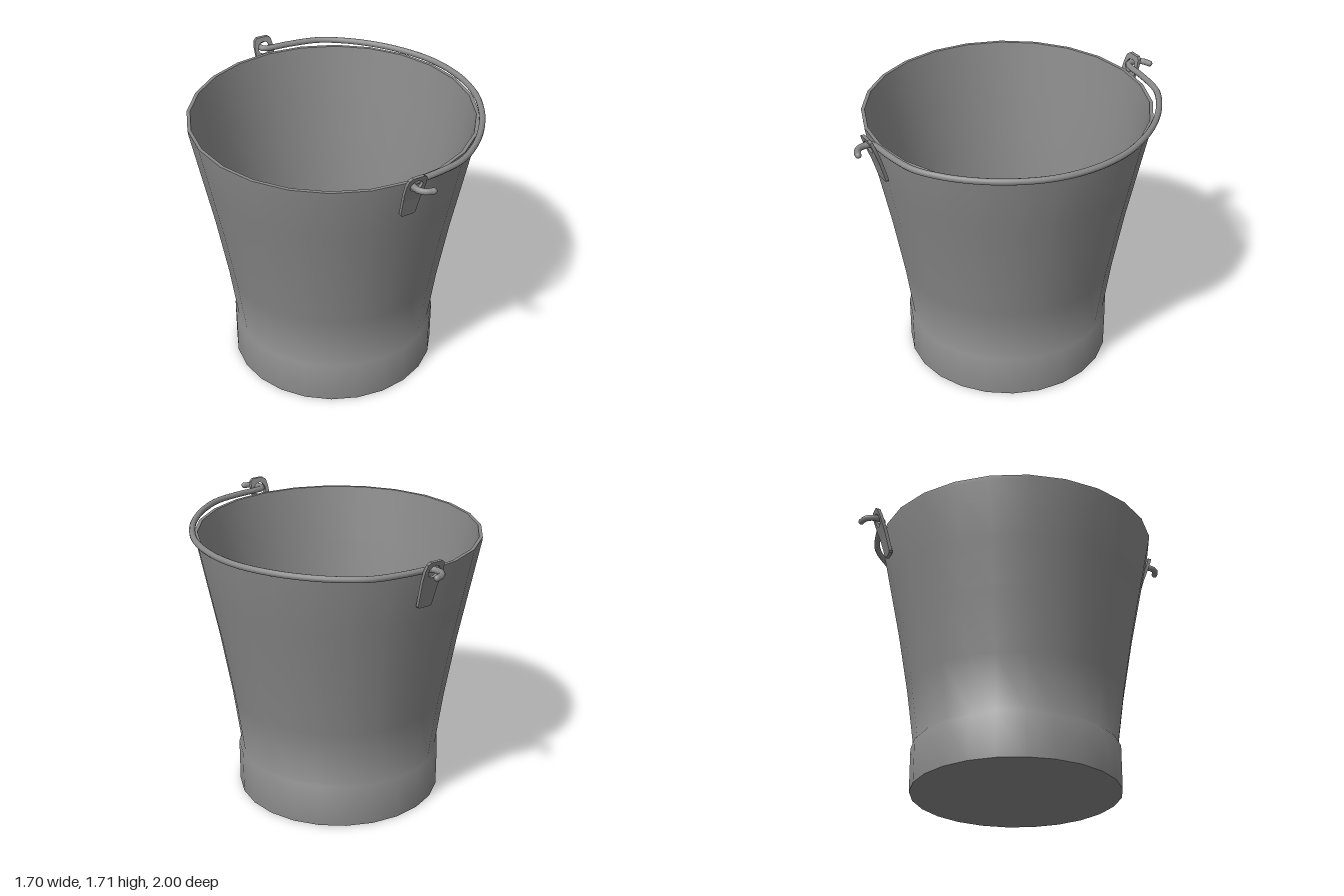
import * as THREE from 'three';
import { toCreasedNormals } from 'three/addons/utils/BufferGeometryUtils.js';

const CX = -0.014; // bucket axis
const WIRE = 0.018;

export function createModel() {
  const model = new THREE.Group();
  const material = new THREE.MeshStandardMaterial({ color: 0x888888, side: THREE.DoubleSide });
  const add = (parent, name, geometry) => {
    const mesh = new THREE.Mesh(geometry, material);
    mesh.name = name;
    parent.add(mesh);
    return mesh;
  };

  // Pail: base band blending softly into the flared wall, thin rim, then the inside down to the floor
  const profile = [
    [0, 0.004], [0.615, 0.004], [0.615, 0.265], [0.6, 0.285],
    [0.645, 0.62], [0.71, 1.0], [0.77, 1.3], [0.833, 1.615],
    [0.835, 1.637], [0.815, 1.637],
    [0.752, 1.3], [0.692, 1.0], [0.628, 0.62], [0.582, 0.285], [0.577, 0.12], [0, 0.12],
  ].map(([r, y]) => new THREE.Vector2(r, y));
  const pail = add(model, 'pail', toCreasedNormals(new THREE.LatheGeometry(profile, 24), 1));
  pail.position.x = CX;

  // Lug: a lower strap on the wall and an upper eye that leans outwards
  const plate = (shape, y0, z0, y1, z1) => {
    const geometry = new THREE.ExtrudeGeometry(shape, { depth: 0.02, bevelEnabled: false, curveSegments: 10 });
    const p = geometry.attributes.position;
    for (let i = 0; i < p.count; i++) {
      const t = (p.getY(i) - y0) / (y1 - y0);
      p.setZ(i, p.getZ(i) + z0 + t * (z1 - z0) - 0.01);
    }
    geometry.deleteAttribute('normal');
    return toCreasedNormals(geometry, 0.6);
  };
  const outline = (half) => new THREE.Shape([
    ...half.map(([x, y]) => new THREE.Vector2(x, y)),
    ...half.map(([x, y]) => new THREE.Vector2(-x, y)).reverse(),
  ]);
  const strap = outline([[0.037, 1.423], [0.046, 1.433], [0.053, 1.54]]);
  const eye = outline([[0.053, 1.54], [0.06, 1.6], [0.061, 1.66], [0.054, 1.7], [0.035, 1.714]]);
  eye.holes.push(new THREE.Path().absarc(0, 1.65, 0.038, 0, Math.PI * 2, true));
  const strapGeometry = plate(strap, 1.423, 0.812, 1.54, 0.846);
  const eyeGeometry = plate(eye, 1.54, 0.846, 1.714, 0.908);
  for (const [name, turn] of [['frontLug', 0], ['backLug', Math.PI]]) {
    const lug = new THREE.Group();
    lug.name = name;
    lug.position.x = CX;
    lug.rotation.y = turn;
    add(lug, 'strap', strapGeometry);
    add(lug, 'eye', eyeGeometry);
    model.add(lug);
  }

  // Handle: wire lying level around the rim, hooked through each lug
  const half = [
    [0.037, 0.983], [-0.005, 0.968], [-0.03, 0.935], [-0.034, 0.895],
    [-0.022, 0.868], [0.02, 0.857], [0.14, 0.846], [0.32, 0.808],
    [0.46, 0.722], [0.592, 0.597], [0.71, 0.433], [0.8, 0.23],
  ];
  const path = [
    ...half, [0.832, 0],
    ...half.map(([x, z]) => [x, -z]).reverse(),
  ].map(([x, z]) => new THREE.Vector3(x, 1.653, z));
  const handle = new THREE.Group();
  handle.name = 'handle';
  add(handle, 'wire', new THREE.TubeGeometry(new THREE.CatmullRomCurve3(path), 140, WIRE, 10));
  for (const end of [path[0], path[path.length - 1]]) {
    add(handle, 'wireEnd', new THREE.SphereGeometry(WIRE, 10, 8)).position.copy(end);
  }
  model.add(handle);

  return model;
}
